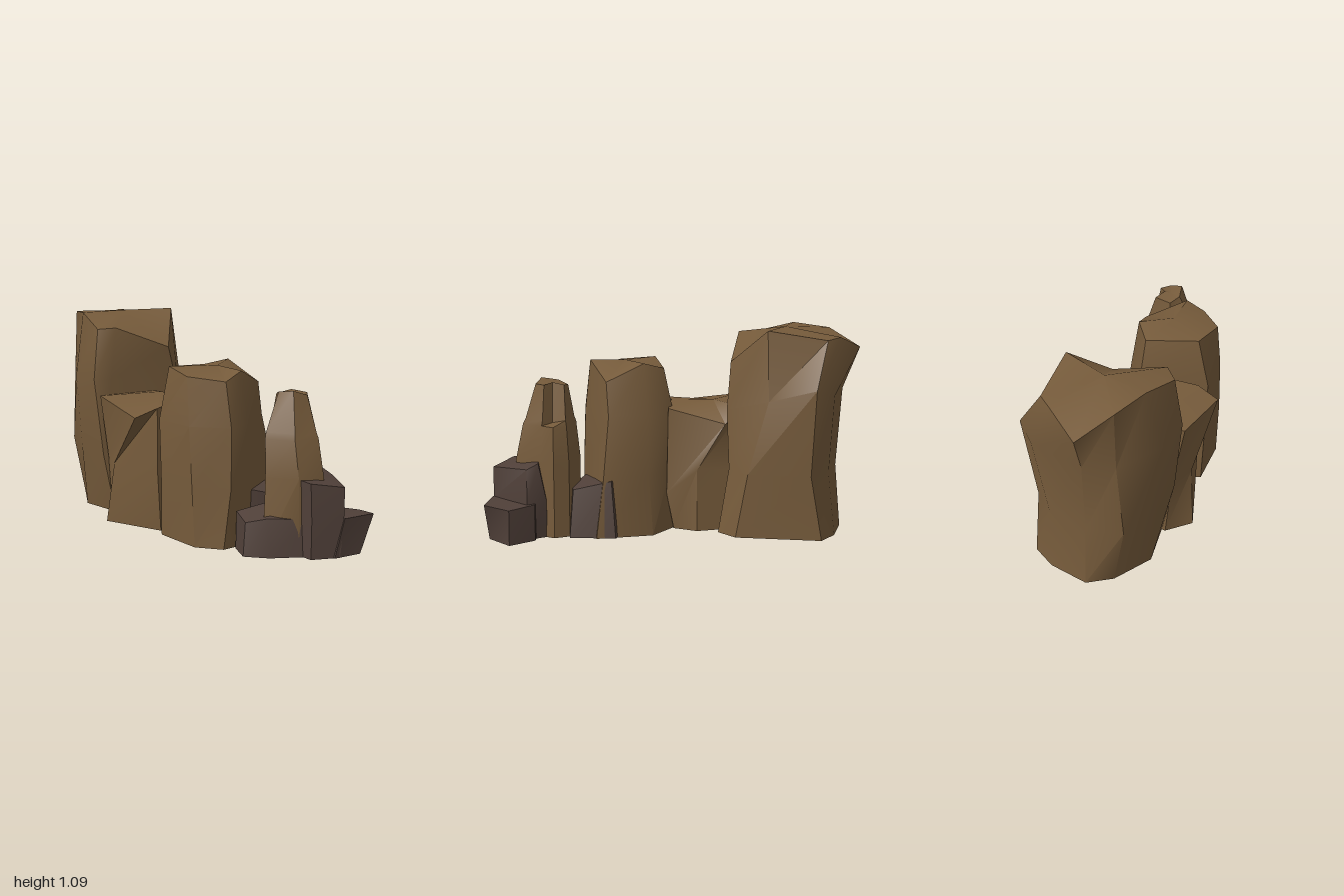
import * as THREE from 'three';
import { toCreasedNormals } from 'three/addons/utils/BufferGeometryUtils.js';

const tan = new THREE.MeshStandardMaterial({ color: 0x765b3b });
const dark = new THREE.MeshStandardMaterial({ color: 0x504039 });

// A rock is a stack of rings, listed bottom to top. Each ring is a height and
// corners [x, z] or [x, z, own height], running back, +x side, front, -x side.
// The peak [x, y, z] is the centre of the top cap.
function rock(name, material, peak, rings) {
  const n = rings[0][1].length;
  const points = rings.flatMap(([y, corners]) => corners.map(([x, z, h = y]) => new THREE.Vector3(x, h, z)));
  const index = [];
  const last = points.length - n;

  // Centres of the bottom and top caps
  const bottom = points.length, top = bottom + 1;
  const foot = new THREE.Vector3();
  points.slice(0, n).forEach((p) => foot.addScaledVector(p, 1 / n));
  points.push(foot, new THREE.Vector3(...peak));

  for (let i = 0; i < n; i++) {
    const j = (i + 1) % n;
    for (let k = 0; k < last; k += n) {
      index.push(k + j, k + i, k + n + i, k + j, k + n + i, k + n + j);
    }
    index.push(bottom, i, j, top, last + j, last + i);
  }

  const geometry = new THREE.BufferGeometry().setFromPoints(points);
  geometry.setIndex(index);
  const mesh = new THREE.Mesh(toCreasedNormals(geometry, 0.7), material);
  mesh.name = name;
  return mesh;
}

export function createModel() {
  const group = new THREE.Group();
  group.name = 'rockFormation';

  // Tallest boulder at the back
  group.add(rock('tallBackRock', tan, [0.01, 1.09, -0.6], [
    [0, [[0.03, -0.91], [0.24, -0.84], [0.355, -0.75], [0.255, -0.31], [0.14, -0.23], [-0.15, -0.36], [-0.23, -0.42], [-0.24, -0.65], [-0.1, -0.84]]],
    [0.34, [[0.03, -0.88], [0.25, -0.8], [0.35, -0.69], [0.27, -0.37], [0.11, -0.29], [-0.2, -0.39], [-0.3, -0.43], [-0.27, -0.65], [-0.16, -0.86]]],
    [0.76, [[0.03, -0.91], [0.32, -0.81], [0.42, -0.7, 0.8], [0.31, -0.47, 0.73], [0.12, -0.275, 0.66], [-0.26, -0.4], [-0.34, -0.45], [-0.3, -0.65], [-0.13, -0.87]]],
    [1.05, [[0.03, -1, 0.98], [0.2, -0.86], [0.27, -0.78, 1.04], [0.25, -0.47, 1.09], [0.07, -0.3, 0.91], [-0.24, -0.38, 1.04], [-0.3, -0.46, 1.03], [-0.22, -0.68, 1.09], [-0.12, -0.86, 1.07]]],
  ]));

  // Lower boulder filling the gap
  group.add(rock('gapRock', tan, [-0.06, 0.69, -0.22], [
    [0, [[-0.25, -0.42], [0.06, -0.36], [0.11, -0.12], [0.04, 0], [-0.1, 0.01], [-0.28, 0.01], [-0.375, -0.32]]],
    [0.33, [[-0.28, -0.41], [0.05, -0.36], [0.1, -0.12], [0.06, 0.04, 0.2], [-0.1, 0.03], [-0.31, 0.02], [-0.35, -0.28]]],
    [0.66, [[-0.34, -0.4, 0.68], [0.04, -0.38, 0.66], [0.1, -0.27, 0.58], [0.05, 0.03], [-0.07, 0.005, 0.69], [-0.3, 0.01, 0.67], [-0.42, -0.03, 0.63]]],
  ]));

  // Middle boulder
  group.add(rock('middleRock', tan, [-0.1, 0.905, 0.25], [
    [0, [[0.02, 0], [0.18, 0.12], [0.23, 0.42], [-0.1, 0.48], [-0.26, 0.46], [-0.34, 0.33], [-0.32, 0.06]]],
    [0.32, [[0.02, 0.02], [0.15, 0.14], [0.195, 0.38], [-0.1, 0.48], [-0.23, 0.48], [-0.35, 0.32], [-0.33, 0.07]]],
    [0.63, [[0.02, 0], [0.11, 0.14], [0.13, 0.35], [-0.1, 0.47], [-0.22, 0.47], [-0.35, 0.3], [-0.34, 0.07]]],
    [0.88, [[0, 0.05, 0.87], [0.07, 0.16, 0.905], [0.09, 0.36, 0.81], [-0.12, 0.44, 0.905], [-0.22, 0.43, 0.86], [-0.335, 0.27], [-0.28, 0.08, 0.9]]],
  ]));

  // Low foot beside the middle boulder
  group.add(rock('middleFoot', dark, [0.07, 0.29, 0.42], [
    [0, [[0.1, 0.25], [0.23, 0.32], [0.2, 0.56], [0.04, 0.57], [-0.12, 0.46], [-0.08, 0.3]]],
    [0.29, [[0.08, 0.27, 0.31], [0.2, 0.34, 0.3], [0.16, 0.54, 0.25], [0.04, 0.55, 0.25], [-0.1, 0.45], [-0.08, 0.3, 0.31]]],
  ]));

  // Front spire, with a notch and ledge on its +x side
  group.add(rock('frontSpire', tan, [0.03, 0.8, 0.65], [
    [0, [[0, 0.5], [0.17, 0.56], [0.2, 0.64], [0.15, 0.72], [0.06, 0.84], [-0.07, 0.8], [-0.18, 0.65]]],
    [0.4, [[0, 0.5], [0.17, 0.56], [0.2, 0.64], [0.15, 0.71], [0.06, 0.84], [-0.07, 0.79], [-0.15, 0.64]]],
    [0.59, [[0, 0.52], [0.165, 0.57], [0.195, 0.64], [0.14, 0.7], [0.06, 0.8], [-0.07, 0.76], [-0.135, 0.62]]],
    [0.62, [[0, 0.53], [0.155, 0.575], [0.1, 0.645, 0.6], [0.135, 0.695], [0.06, 0.785], [-0.06, 0.75], [-0.13, 0.62]]],
    [0.81, [[0.01, 0.56, 0.79], [0.1, 0.58, 0.8], [0.065, 0.64], [0.1, 0.685, 0.8], [0.05, 0.73, 0.8], [-0.02, 0.7, 0.825], [-0.03, 0.61]]],
  ]));

  // Small rock on the -x side of the spire
  group.add(rock('sideRock', dark, [-0.1, 0.21, 0.65], [
    [0, [[-0.2, 0.485], [-0.04, 0.56], [0, 0.86], [-0.19, 0.71], [-0.265, 0.6]]],
    [0.19, [[-0.2, 0.49, 0.2], [-0.05, 0.56, 0.23], [-0.02, 0.83], [-0.18, 0.69, 0.2], [-0.24, 0.59, 0.17]]],
  ]));

  // Upper step block
  group.add(rock('upperStep', dark, [0.07, 0.385, 0.8], [
    [0, [[-0.05, 0.68], [0.17, 0.68], [0.22, 0.77], [0.07, 0.95], [-0.06, 0.87]]],
    [0.2, [[-0.05, 0.68], [0.18, 0.68], [0.235, 0.78], [0.08, 0.96], [-0.06, 0.87]]],
    [0.38, [[-0.06, 0.72, 0.4], [0.19, 0.72, 0.4], [0.2, 0.78, 0.37], [0.08, 0.96, 0.365], [-0.06, 0.86, 0.39]]],
  ]));

  // Lower step block at the very front
  group.add(rock('lowerStep', dark, [0.18, 0.195, 0.86], [
    [0, [[0.04, 0.72], [0.24, 0.74], [0.335, 0.87], [0.19, 0.98], [0.04, 0.94]]],
    [0.19, [[0.04, 0.72], [0.23, 0.74], [0.315, 0.87, 0.18], [0.265, 1, 0.2], [0.08, 0.965, 0.205]]],
  ]));

  return group;
}
